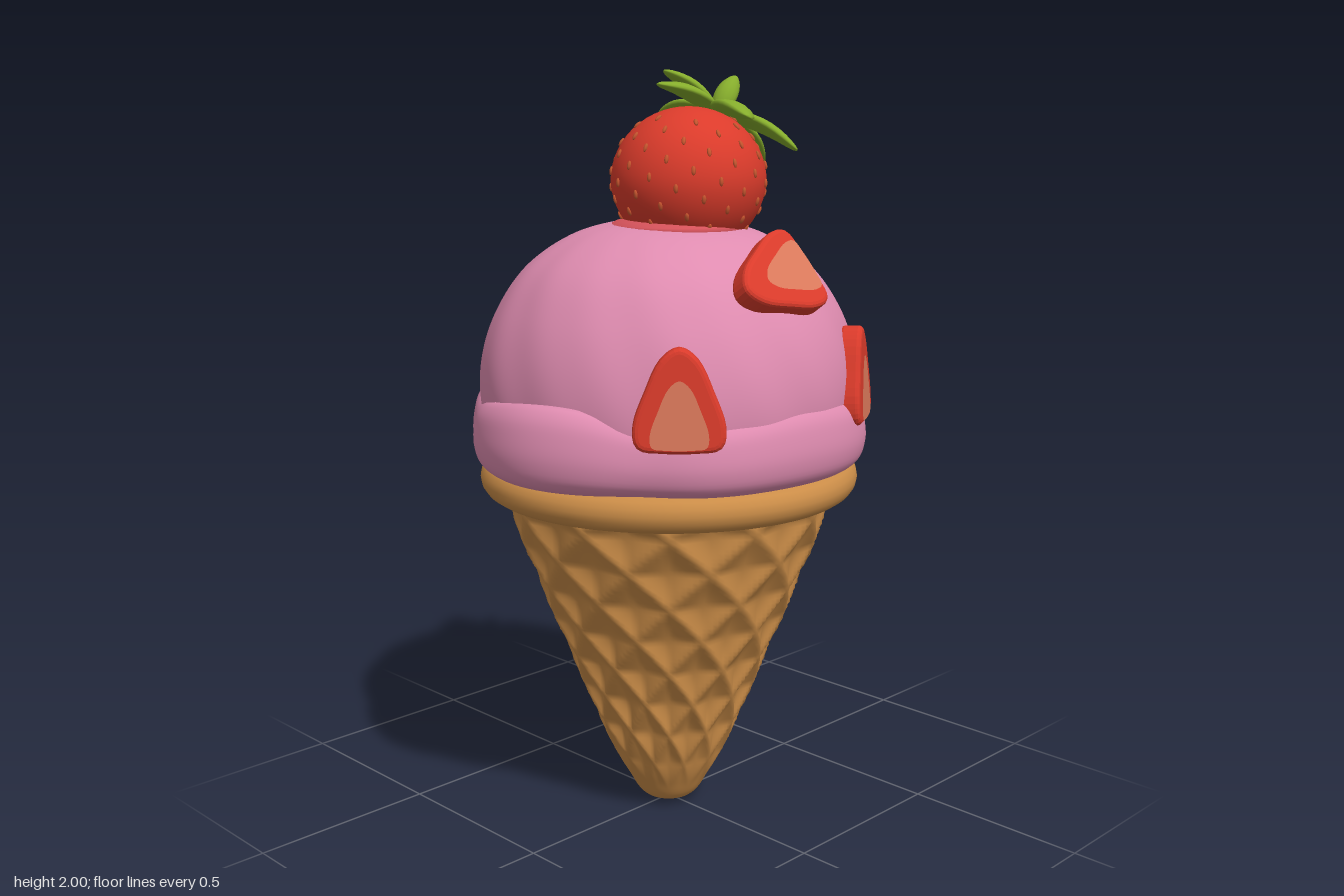
import * as THREE from 'three';
import { mergeVertices } from 'three/addons/utils/BufferGeometryUtils.js';

const V = (x, y, z) => new THREE.Vector3(x, y, z);

function mat(name, color) {
  const m = new THREE.MeshStandardMaterial({ color });
  m.name = name;
  return m;
}

// Moves every vertex by a rule, welds the seams and smooths the normals
function reshape(geo, rule) {
  geo.deleteAttribute('uv');
  geo.deleteAttribute('normal');
  const p = geo.attributes.position, v = V(0, 0, 0);
  for (let i = 0; i < p.count; i++) {
    v.fromBufferAttribute(p, i);
    rule(v, Math.atan2(v.x, v.z));
    p.setXYZ(i, v.x, v.y, v.z);
  }
  const out = mergeVertices(geo, 1e-4);
  out.computeVertexNormals();
  return out;
}

// Smooth lathe through a few [radius, height] points, bottom to top
function lathe(points, rows, segments) {
  const curve = new THREE.CatmullRomCurve3(points.map(([r, y]) => V(r, y, 0)), false, 'centripetal');
  const profile = curve.getSpacedPoints(rows).map(p => new THREE.Vector2(Math.max(0, p.x), p.y));
  return new THREE.LatheGeometry(profile, segments);
}

const scaleXZ = (v, k) => { v.x *= k; v.z *= k; };

// Places an object with its y along dir and its z as near normal as possible
function orient(obj, pos, dir, normal) {
  const y = dir.clone().normalize();
  const x = y.clone().cross(normal).normalize();
  const z = x.clone().cross(y);
  obj.quaternion.setFromRotationMatrix(new THREE.Matrix4().makeBasis(x, y, z));
  obj.position.copy(pos);
}

export function createModel() {
  const root = new THREE.Group();
  root.name = 'iceCreamCone';
  const waffle = mat('waffle', 0xcb8d48);
  const cream = mat('pink ice cream', 0xdf8cb0);
  const red = mat('strawberry red', 0xdb3b2b);
  const flesh = mat('strawberry flesh', 0xdc7a5c);
  const syrup = mat('syrup', 0xd4525a);
  const green = mat('leaf green', 0x86ad2c);
  const seedMat = mat('seed', 0xc8562f);

  function add(name, geo, material, parent = root) {
    const m = new THREE.Mesh(geo, material);
    m.name = name;
    parent.add(m);
    return m;
  }

  // Cone with raised diamond ridges
  const coneGeo = lathe([[0, 0.005], [0.07, 0.025], [0.115, 0.09], [0.17, 0.2], [0.25, 0.4],
    [0.33, 0.6], [0.405, 0.8], [0.445, 0.93]], 90, 168);
  add('cone', reshape(coneGeo, (v, a) => {
    const r = Math.hypot(v.x, v.z);
    if (r < 1e-4) return;
    const s = 15.5 * v.y + 0.6;
    const dent = Math.min(Math.abs(Math.sin(6 * a + s)), Math.abs(Math.sin(6 * a - s)));
    const fade = THREE.MathUtils.smoothstep(v.y, 0.05, 0.3);
    scaleXZ(v, 1 + (0.006 - 0.026 * dent) * fade / r);
  }), waffle);

  // Rolled rim
  const rim = add('coneRim', new THREE.TorusGeometry(0.456, 0.049, 16, 96), waffle);
  rim.rotation.x = Math.PI / 2;
  rim.position.y = 0.95;

  // Thin syrup line between rim and scoop
  add('syrupLine', new THREE.CylinderGeometry(0.475, 0.475, 0.03, 64), syrup).position.y = 0.985;

  // Scoop with soft slanted streaks
  const domeGeo = lathe([[0.44, 1.0], [0.485, 1.08], [0.5, 1.18], [0.487, 1.29], [0.445, 1.4],
    [0.37, 1.505], [0.25, 1.585], [0.12, 1.62], [0, 1.63]], 60, 128);
  add('scoop', reshape(domeGeo, (v, a) => {
    const r = Math.hypot(v.x, v.z), fade = Math.min(1, r / 0.3);
    const streak = 0.5 * Math.sin(9 * a + 9 * v.y) + 0.35 * Math.sin(17 * a + 14 * v.y + 1)
      + 0.6 * Math.sin(3 * a - 7 * v.y);
    scaleXZ(v, 1 + 0.008 * streak * fade);
  }), cream);

  // Overflowing skirt, fuller at the front and back
  const skirtGeo = lathe([[0.4, 0.99], [0.47, 0.99], [0.512, 1.015], [0.527, 1.06], [0.525, 1.11],
    [0.512, 1.155], [0.485, 1.18], [0.45, 1.17]], 30, 128);
  add('scoopSkirt', reshape(skirtGeo, (v, a) => {
    const off = Math.asin(Math.min(1, Math.abs(Math.sin(a))));
    const bulge = Math.exp(-Math.pow(off / 0.42, 2));
    const dip = Math.exp(-Math.pow((off - 0.65) / 0.2, 2));
    scaleXZ(v, 1 + 0.068 * bulge - 0.022 * dip + 0.006 * Math.sin(7 * a + 1));
    v.y = 0.99 + (v.y - 0.99) * (1 + 0.12 * bulge - 0.1 * dip + 0.06 * Math.sin(5 * a));
  }), cream);

  // Whole strawberry, tipped backwards
  const berry = new THREE.Group();
  berry.name = 'strawberry';
  berry.position.set(0.042, 1.72, -0.03);
  const axis = V(0.06, 0.9, -0.42).normalize();
  root.add(berry);
  const berryRule = v => {
    v.y *= 0.94;
    if (v.y < 0) scaleXZ(v, 1 + 0.25 * v.y);
  };
  add('berryBody', reshape(new THREE.SphereGeometry(0.202, 40, 28), berryRule), red, berry);

  // Seeds on a golden spiral
  const seedGeo = new THREE.SphereGeometry(1, 6, 5).scale(0.006, 0.012, 0.005);
  for (let i = 0; i < 90; i++) {
    const h = 0.85 - 1.6 * (i + 0.5) / 90, a = i * 2.39996, c = Math.sqrt(1 - h * h);
    const n = V(c * Math.sin(a), h, c * Math.cos(a));
    const p = n.clone().multiplyScalar(0.203);
    berryRule(p);
    orient(add('seed', seedGeo, seedMat, berry), p, V(0, 1, 0).addScaledVector(n, -h), n);
  }

  // Syrup pool below the strawberry
  const pool = add('syrupPool', new THREE.SphereGeometry(1, 32, 12), syrup);
  pool.scale.set(0.18, 0.035, 0.175);
  pool.position.set(0.025, 1.603, 0);

  // Leaves and stem, from a common base to each tip
  const base = V(0.07, 1.895, -0.11);
  function leaf(name, tip, width, thick) {
    const dir = tip.clone().sub(base), len = dir.length();
    const geo = reshape(new THREE.SphereGeometry(1, 14, 14), v => {
      const t = (v.y + 1) / 2;
      v.x *= width * (1.12 - 0.45 * t * t);
      v.z = v.z * thick + 0.09 * len * Math.sin(Math.PI * t) - 0.15 * Math.abs(v.x);
      v.y = t * len;
    });
    orient(add(name, geo, green), base, dir, axis);
  }
  for (const [x, y, z] of [[-0.135, 1.89, -0.1], [-0.03, 2.0, -0.01], [0.04, 1.965, 0.08],
    [0.265, 1.885, -0.01], [0.265, 1.8, -0.2], [0.05, 1.76, -0.31]]) {
    leaf('leaf', V(x, y, z), 0.05, 0.014);
  }
  leaf('stem', V(0.05, 1.985, -0.2), 0.03, 0.022);

  // Strawberry slices pressed into the scoop
  const half = [[0.035, 0.088], [0.07, 0.015], [0.096, -0.06], [0.09, -0.1], [0.045, -0.108]];
  const outline = [[0, 0.112], ...half, ...half.map(([x, y]) => [-x, y]).reverse()];
  const loop = new THREE.CatmullRomCurve3(outline.map(([x, y]) => V(x, y, 0)), true);
  const shape = new THREE.Shape(loop.getPoints(44).slice(0, -1).map(p => new THREE.Vector2(p.x, p.y)));
  const sliceGeo = new THREE.ExtrudeGeometry(shape, {
    depth: 0.036, bevelThickness: 0.012, bevelSize: 0.014, bevelSegments: 3 }).translate(0, 0, -0.018);
  const fleshGeo = new THREE.ShapeGeometry(shape).scale(0.72, 0.74, 1).translate(0, -0.033, 0.032);
  const slices = [
    ['frontSlice', V(0.372, 1.235, 0.338), V(-0.05, 1, -0.05), V(0.71, 0.08, 0.7)],
    ['backSlice', V(0.428, 1.235, -0.245), V(-0.05, 1, 0.03), V(0.86, 0.06, -0.5)],
    ['upperSlice', V(0.395, 1.495, 0.035), V(0.05, -0.2, 1), V(0.83, 0.55, 0.08)],
  ];
  for (const [name, pos, tip, normal] of slices) {
    const g = new THREE.Group();
    g.name = name;
    add('sliceRind', sliceGeo, red, g);
    add('sliceFlesh', fleshGeo, flesh, g);
    orient(g, pos, tip, normal);
    root.add(g);
  }
  return root;
}
